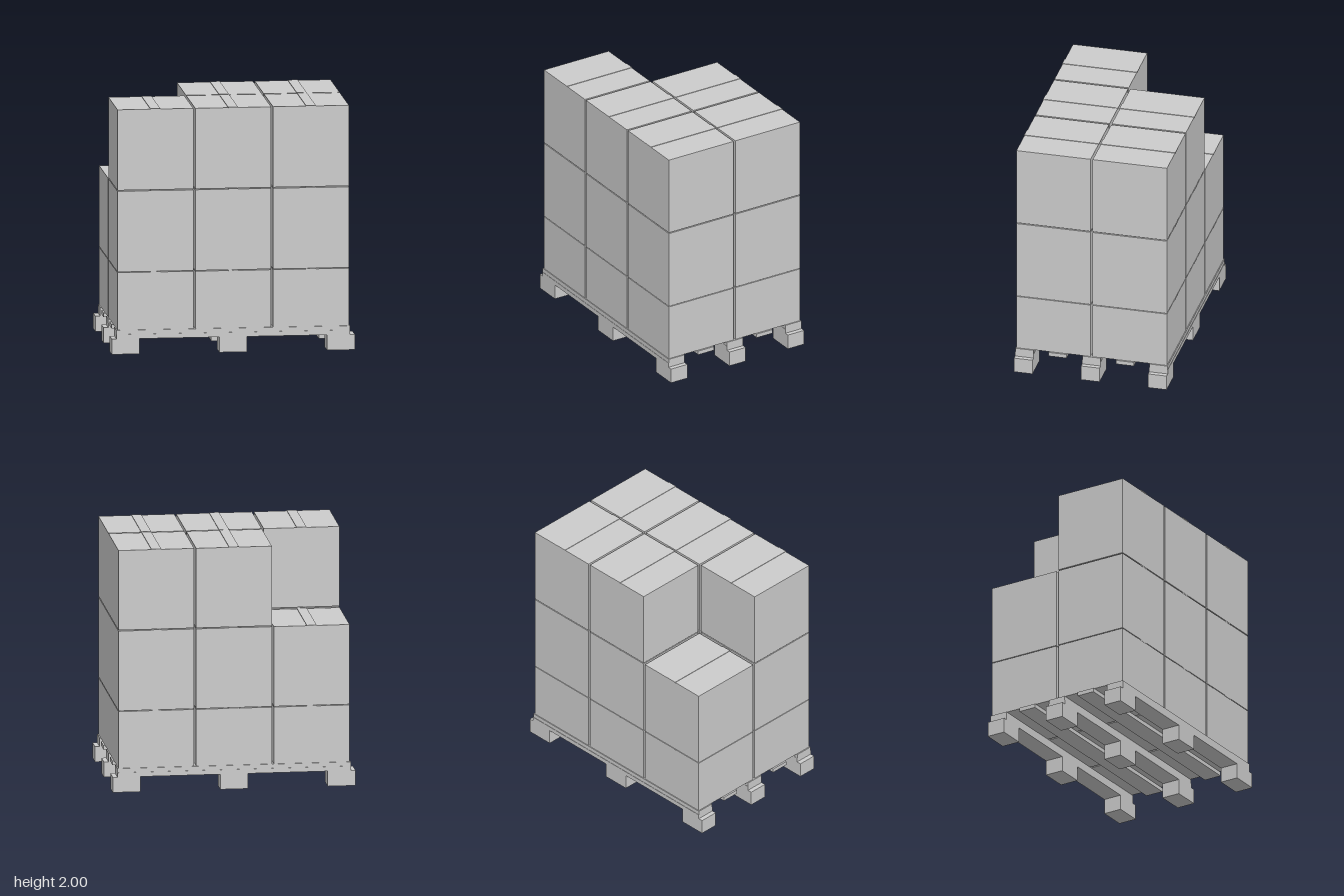
import * as THREE from 'three';

export function createModel() {
  const model = new THREE.Group();
  const material = new THREE.MeshStandardMaterial({ color: 0xcccccc, flatShading: true });

  // Box given by width, depth, bottom and top heights, and centre x, z
  function block(parent, name, w, d, y0, y1, x, z) {
    const mesh = new THREE.Mesh(new THREE.BoxGeometry(w, y1 - y0, d), material);
    mesh.name = name;
    mesh.position.set(x, (y0 + y1) / 2, z);
    parent.add(mesh);
  }

  // Pallet: three runners, each on three feet, with a deck board on top
  const pallet = new THREE.Group();
  pallet.name = 'pallet';
  for (const z of [-0.557, 0, 0.557]) {
    for (const x of [-0.873, 0, 0.873]) block(pallet, 'foot', 0.226, 0.155, 0, 0.125, x, z);
    block(pallet, 'runner', 1.896, 0.155, 0.125, 0.162, 0, z);
    block(pallet, 'deckBoard', 1.896, 0.15, 0.162, 0.196, 0, z);
  }
  // Thin slats between the runners
  for (const z of [-0.279, 0.279]) block(pallet, 'slat', 1.906, 0.15, 0.163, 0.196, 0, z);
  model.add(pallet);

  // Cartons: three layers of 3 x 2, with one left out of the top back corner
  const layers = [[0.196, 0.665], [0.671, 1.33], [1.338, 1.996]];
  layers.forEach(([y0, y1], layer) => {
    for (const column of [-1, 0, 1]) {
      for (const row of [-1, 1]) {
        if (layer === 2 && column === -1 && row === -1) continue;
        const carton = new THREE.Group();
        carton.name = 'carton';
        const x = column * 0.631, z = row * 0.317;
        block(carton, 'cartonBody', 0.615, 0.616, y0, y1, x, z);
        // Strip of tape along the top seam
        block(carton, 'tape', 0.08, 0.622, y1 - 0.003, y1 + 0.004, x, z);
        model.add(carton);
      }
    }
  });

  return model;
}
